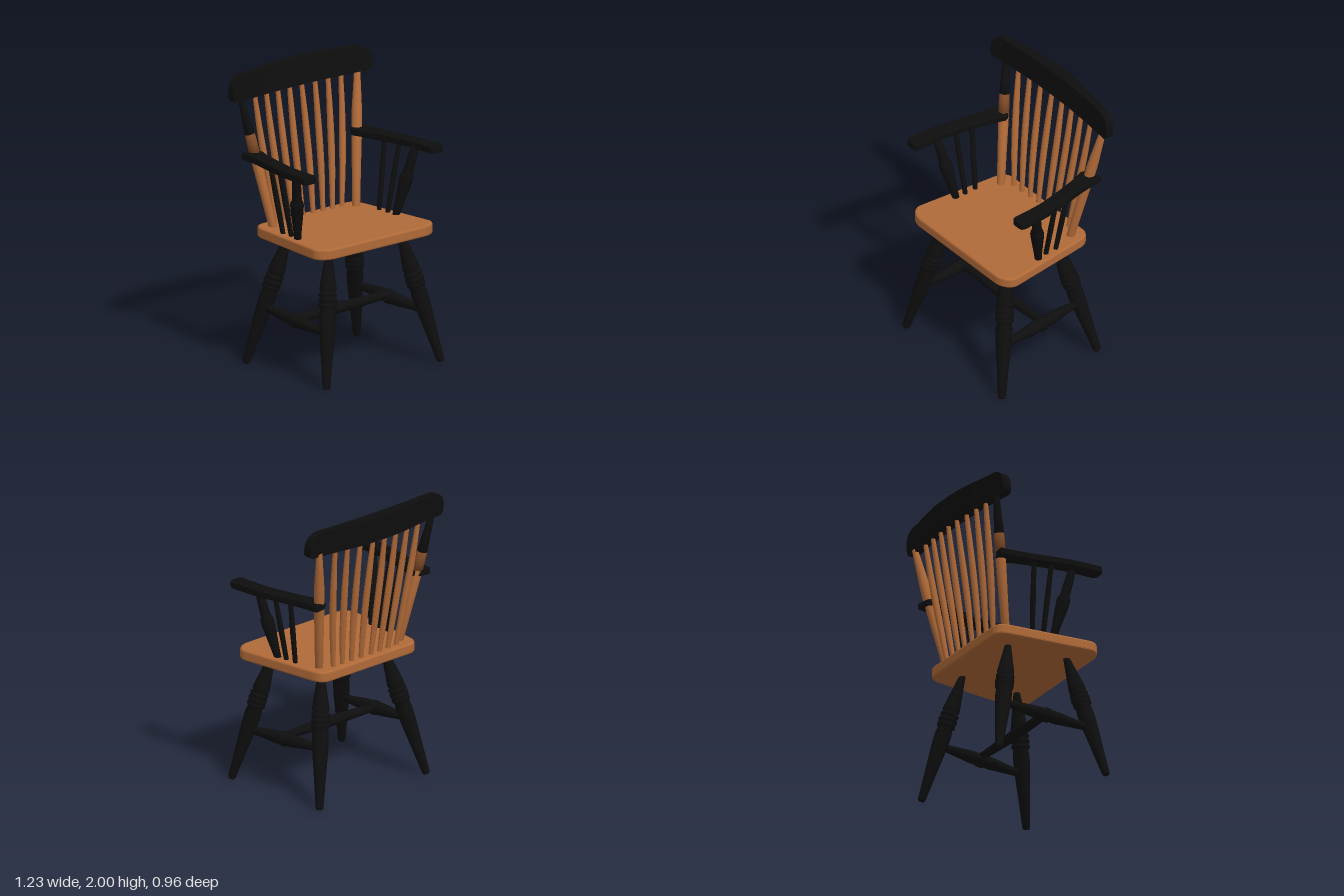
import * as THREE from 'three';

const V = (x, y, z) => new THREE.Vector3(x, y, z);
const paint = (name, color) => Object.assign(new THREE.MeshStandardMaterial({ color }), { name });

export function createModel() {
  const chair = new THREE.Group();
  chair.name = 'armchair';
  const black = paint('black paint', 0x0e0e0e);
  const wood = paint('orange wood', 0xb06a38);
  const worn = paint('worn brown', 0x7e4a26);

  const add = (name, geometry, material) => {
    const mesh = new THREE.Mesh(geometry, material);
    mesh.name = name;
    chair.add(mesh);
    return mesh;
  };

  // Turned part from a to b; profile rows are [fraction along, radius]
  const turned = (name, a, b, profile, material, sides = 18) => {
    const dir = b.clone().sub(a), length = dir.length();
    const last = profile[profile.length - 1];
    const points = [[profile[0][0], 0], ...profile, [last[0], 0]]
      .map(([t, r]) => new THREE.Vector2(r, t * length));
    const mesh = add(name, new THREE.LatheGeometry(points, sides), material);
    mesh.position.copy(a);
    mesh.quaternion.setFromUnitVectors(V(0, 1, 0), dir.normalize());
    return mesh;
  };

  // Flat slab with eased edges from a plan outline (x, z)
  const slab = (shape, bottom, top, ease) => {
    const g = new THREE.ExtrudeGeometry(shape, {
      depth: top - bottom - 2 * ease, bevelSize: ease, bevelThickness: ease,
      bevelOffset: -ease, bevelSegments: 3, curveSegments: 10,
    });
    return g.rotateX(Math.PI / 2).translate(0, top - ease, 0);
  };

  // Seat: wider at the front, rounded corners
  const seat = new THREE.Shape();
  seat.moveTo(-0.40, 0.428);
  seat.lineTo(0.40, 0.428);
  seat.bezierCurveTo(0.46, 0.425, 0.525, 0.38, 0.515, 0.32);
  seat.lineTo(0.455, -0.24);
  seat.bezierCurveTo(0.45, -0.31, 0.42, -0.348, 0.36, -0.348);
  seat.lineTo(-0.36, -0.348);
  seat.bezierCurveTo(-0.42, -0.348, -0.45, -0.31, -0.455, -0.24);
  seat.lineTo(-0.515, 0.32);
  seat.bezierCurveTo(-0.525, 0.38, -0.46, 0.425, -0.40, 0.428);
  add('seat', slab(seat, 0.875, 0.95, 0.014), wood);

  // Crest rail: bowed board with rounded ends
  const crest = new THREE.BoxGeometry(2, 2, 2, 64, 4, 2);
  const p = crest.attributes.position;
  const round = (x, r) => 1 - Math.sqrt(Math.max(0, 1 - Math.max(0, (x - 0.61 + r) / r) ** 2));
  for (let i = 0; i < p.count; i++) {
    const x = 0.61 * Math.sin(p.getX(i) * Math.PI / 2), ax = Math.abs(x);
    const top = 1.998 - 0.1 * round(ax, 0.1) - 0.008 * (ax / 0.61) ** 2;
    const bottom = 1.82 + 0.04 * round(ax, 0.035);
    const y = THREE.MathUtils.lerp(bottom, top, (p.getY(i) + 1) / 2);
    const front = -0.40 + 0.04 * (ax / 0.61) ** 2;
    const back = -0.42 - 0.058 * (0.5 + 0.5 * Math.cos(Math.PI * Math.max(0, ax - 0.05) / 0.56));
    const z = THREE.MathUtils.lerp(back, front, (p.getZ(i) + 1) / 2);
    p.setXYZ(i, x, y, z + (1.998 - y) * 0.09);
  }
  crest.computeVertexNormals();
  add('crestRail', crest, black);

  // Back spindles, fanned and gently bent
  [[0.045, 0.053], [0.127, 0.164], [0.206, 0.273], [0.284, 0.381]].forEach(([low, high], i) => {
    for (const s of [-1, 1]) {
      const zb = -0.298 + 0.004 * i, zt = -0.43 + 0.008 * i;
      const path = new THREE.CatmullRomCurve3([
        V(s * low, 0.92, zb),
        V(s * (low * 0.62 + high * 0.38 + 0.006), 1.25, zb * 0.66 + zt * 0.34),
        V(s * (low * 0.28 + high * 0.72 + 0.005), 1.55, zb * 0.32 + zt * 0.68),
        V(s * high, 1.84, zt),
      ]);
      const g = new THREE.TubeGeometry(path, 16, 1, 10);
      // Swell the tube toward its middle
      const q = g.attributes.position, c = new THREE.Vector3(), v = new THREE.Vector3();
      for (let k = 0; k < q.count; k++) {
        const t = Math.floor(k / 11) / 16;
        path.getPointAt(t, c);
        v.fromBufferAttribute(q, k).sub(c).multiplyScalar(0.015 + 0.008 * Math.sin(Math.PI * t)).add(c);
        q.setXYZ(k, v.x, v.y, v.z);
      }
      g.computeVertexNormals();
      add('backSpindle', g, wood);
    }
  });

  // Back posts; the right one is painted black on its upper part
  const lower = [[0, 0.027], [0.3, 0.031], [0.58, 0.036]];
  const band = [[0.58, 0.036], [0.65, 0.036], [0.72, 0.034]];
  const upper = [[0.72, 0.034], [0.84, 0.028], [1, 0.02]];
  const leftPost = [V(0.365, 0.92, -0.235), V(0.52, 1.84, -0.4)];
  const rightPost = [V(-0.36, 0.92, -0.235), V(-0.508, 1.84, -0.4)];
  turned('leftBackPost', ...leftPost, [...lower, ...band.slice(1), ...upper.slice(1)], wood);
  turned('rightBackPostLower', ...rightPost, lower, wood);
  turned('rightBackPostBand', ...rightPost, band, worn);
  turned('rightBackPostUpper', ...rightPost, upper, black);

  const legProfile = [
    [0, 0.02], [0.012, 0.026], [0.2, 0.038], [0.42, 0.053], [0.52, 0.056], [0.575, 0.05],
    [0.59, 0.062], [0.605, 0.062], [0.615, 0.054], [0.63, 0.064], [0.645, 0.064], [0.655, 0.054],
    [0.67, 0.062], [0.685, 0.062], [0.695, 0.05], [0.715, 0.058], [0.74, 0.056], [0.87, 0.038],
    [0.97, 0.024], [1, 0.022],
  ];
  const armPostProfile = [
    [0, 0.023], [0.15, 0.028], [0.45, 0.043], [0.55, 0.046], [0.59, 0.042], [0.6, 0.034],
    [0.75, 0.032], [1, 0.026],
  ];
  const spindleProfile = [[0, 0.016], [0.5, 0.019], [1, 0.016]];
  const stretcherProfile = [
    [0, 0.022], [0.2, 0.032], [0.38, 0.043], [0.44, 0.043], [0.455, 0.036], [0.475, 0.05],
    [0.525, 0.05], [0.545, 0.036], [0.56, 0.043], [0.62, 0.043], [0.8, 0.032], [1, 0.022],
  ];

  for (const s of [-1, 1]) {
    const side = s > 0 ? 'left' : 'right';

    // Armrest
    const arm = new THREE.Shape();
    const at = (x, z) => new THREE.Vector2(s * x, z);
    arm.moveTo(s * 0.52, -0.375);
    arm.splineThru([at(0.54, -0.2), at(0.58, 0), at(0.603, 0.15), at(0.613, 0.33)]);
    arm.quadraticCurveTo(s * 0.612, 0.37, s * 0.58, 0.372);
    arm.lineTo(s * 0.535, 0.372);
    arm.quadraticCurveTo(s * 0.505, 0.37, s * 0.504, 0.34);
    arm.splineThru([at(0.498, 0.15), at(0.475, 0), at(0.43, -0.2), at(0.395, -0.305)]);
    arm.quadraticCurveTo(s * 0.40, -0.345, s * 0.44, -0.365);
    arm.lineTo(s * 0.52, -0.375);
    add(side + 'Armrest', slab(arm, 1.41, 1.46, 0.01), black);

    // Arm supports
    turned(side + 'ArmPost', V(s * 0.43, 0.93, 0.085), V(s * 0.525, 1.43, 0.18), armPostProfile, black);
    turned(side + 'ArmSpindle', V(s * 0.42, 0.93, 0.015), V(s * 0.53, 1.43, 0.015), spindleProfile, black, 12);
    turned(side + 'ArmSpindle', V(s * 0.42, 0.93, -0.068), V(s * 0.505, 1.43, -0.105), spindleProfile, black, 12);

    // Legs and side stretcher
    turned(side + 'FrontLeg', V(s * 0.505, 0.004, 0.457), V(s * 0.312, 0.89, 0.262), legProfile, black);
    turned(side + 'BackLeg', V(s * 0.49, 0.004, -0.37), V(s * 0.285, 0.89, -0.172), legProfile, black);
    turned(side + 'Stretcher', V(s * 0.425, 0.355, 0.375), V(s * 0.405, 0.395, -0.285), stretcherProfile, black);
  }

  // Cross stretcher
  turned('crossStretcher', V(-0.42, 0.38, 0.045), V(0.42, 0.395, 0.045),
    [[0, 0.024], [0.2, 0.031], [0.5, 0.037], [0.8, 0.031], [1, 0.024]], black);

  return chair;
}
